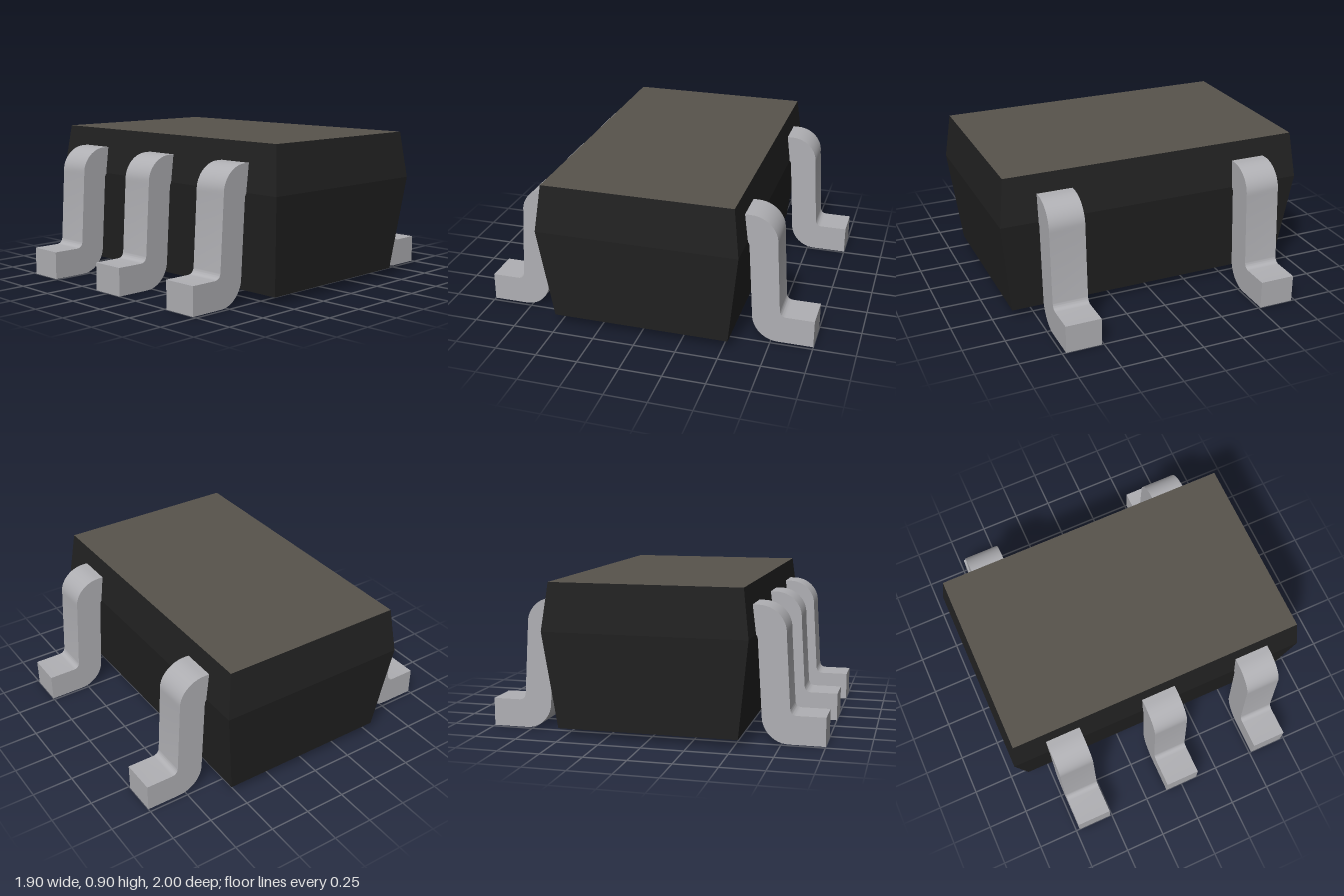
import * as THREE from 'three';
import { toCreasedNormals } from 'three/addons/utils/BufferGeometryUtils.js';

const plastic = new THREE.MeshStandardMaterial({ name: 'black plastic', color: 0x222222 });
const topFace = new THREE.MeshStandardMaterial({ name: 'warm grey top', color: 0x58544c });
const metal = new THREE.MeshStandardMaterial({ name: 'lead metal', color: 0xb0b0b4 });

// Rectangular cross-sections of the moulded body: height, half width, half depth
const SECTIONS = [
  [0.05, 0.885, 0.53],
  [0.625, 0.952, 0.597],
  [0.905, 0.918, 0.562],
];

function bodyGeometry() {
  const corners = [[-1, 1], [1, 1], [1, -1], [-1, -1]];
  const rings = SECTIONS.map(([y, w, d]) => corners.map(([sx, sz]) => [sx * w, y, sz * d]));
  const pos = [];
  const quad = (a, b, c, d) => pos.push(...a, ...b, ...c, ...a, ...c, ...d);
  for (let r = 0; r < 2; r++) {
    for (let i = 0; i < 4; i++) {
      const j = (i + 1) % 4;
      quad(rings[r][i], rings[r][j], rings[r + 1][j], rings[r + 1][i]);
    }
  }
  const [bottom, , top] = rings;
  quad(bottom[3], bottom[2], bottom[1], bottom[0]);
  quad(...top);
  const geo = new THREE.BufferGeometry();
  geo.setAttribute('position', new THREE.Float32BufferAttribute(pos, 3));
  geo.computeVertexNormals();
  geo.addGroup(0, 54, 0); // sides and underside
  geo.addGroup(54, 6, 1); // top
  return geo;
}

// Gull-wing lead: side profile (outward distance, height) swept across its width
function leadGeometry() {
  const width = 0.214, k = 0.45;
  const s = new THREE.Shape();
  s.moveTo(0.54, 0.79);
  s.lineTo(0.61, 0.79);
  s.bezierCurveTo(0.61 + 0.16 * (1 - k), 0.79, 0.774, 0.63 + 0.16 * (1 - k), 0.77, 0.63); // shoulder
  s.lineTo(0.796, 0.21);
  s.quadraticCurveTo(0.799, 0.168, 0.84, 0.168); // inner ankle bend
  s.lineTo(1, 0.168);
  s.lineTo(1, 0);
  s.lineTo(0.79, 0);
  s.bezierCurveTo(0.79 - 0.15 * (1 - k), 0, 0.643, 0.15 * k, 0.636, 0.14); // heel
  s.lineTo(0.607, 0.6);
  s.quadraticCurveTo(0.604, 0.625, 0.58, 0.625); // inner shoulder bend
  s.lineTo(0.54, 0.625);
  const geo = new THREE.ExtrudeGeometry(s, { depth: width, bevelEnabled: false, curveSegments: 12 });
  geo.translate(0, 0, -width / 2);
  geo.rotateY(-Math.PI / 2);
  return toCreasedNormals(geo, 0.6);
}

export function createModel() {
  const model = new THREE.Group();
  model.name = 'chipPackage';

  const body = new THREE.Mesh(bodyGeometry(), [plastic, topFace]);
  body.name = 'body';
  model.add(body);

  // Three leads at the front, two at the back
  const geo = leadGeometry();
  const addLead = (name, x, turn) => {
    const lead = new THREE.Mesh(geo, metal);
    lead.name = name;
    lead.position.x = x;
    lead.rotation.y = turn;
    model.add(lead);
  };
  [-0.62, 0, 0.62].forEach((x, i) => addLead(`frontLead${i + 1}`, x, 0));
  [-0.62, 0.62].forEach((x, i) => addLead(`backLead${i + 1}`, x, Math.PI));

  return model;
}
